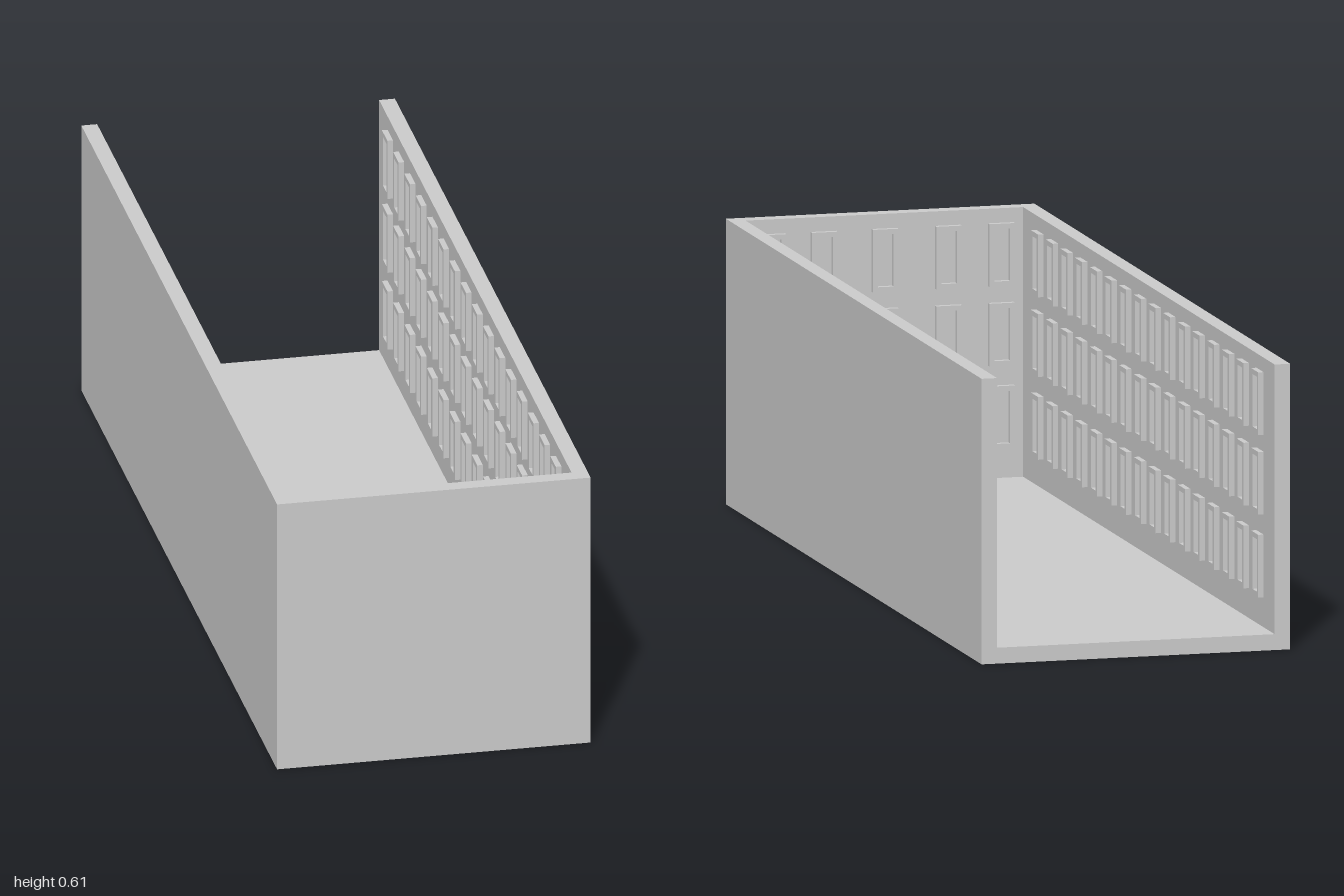
import * as THREE from 'three';

const W = 0.674, H = 0.61, L = 2, T = 0.034;
const WIN_W = 0.056, WIN_H = 0.134, BORDER = 0.011, DEPTH = 0.012;
const ROWS = [0.165, 0.342, 0.512];

function rectPath(PathType, w, h) {
  return new PathType([[-1, -1], [1, -1], [1, 1], [-1, 1]]
    .map(([x, y]) => new THREE.Vector2(x * w / 2, y * h / 2)));
}

export function createModel() {
  const model = new THREE.Group();
  model.name = 'openTrough';
  const mat = new THREE.MeshStandardMaterial({ color: 0xcccccc });

  // Floor and side walls: one U section, open at the top and back
  const a = W / 2, b = a - T;
  const section = new THREE.Shape([
    [-a, 0], [a, 0], [a, H], [b, H], [b, T], [-b, T], [-b, H], [-a, H],
  ].map(([x, y]) => new THREE.Vector2(x, y)));
  const channel = new THREE.Mesh(
    new THREE.ExtrudeGeometry(section, { depth: L - T, bevelEnabled: false }), mat);
  channel.position.z = -L / 2;
  channel.name = 'floorAndSideWalls';
  model.add(channel);

  // Closed front end
  const front = new THREE.Mesh(new THREE.BoxGeometry(W, H, T), mat);
  front.position.set(0, H / 2, L / 2 - T / 2);
  front.name = 'frontWall';
  model.add(front);

  // Raised window frames on the inner faces
  const frameShape = rectPath(THREE.Shape, WIN_W, WIN_H);
  frameShape.holes.push(rectPath(THREE.Path, WIN_W - 2 * BORDER, WIN_H - 2 * BORDER));
  const frameGeo = new THREE.ExtrudeGeometry(frameShape, { depth: DEPTH, bevelEnabled: false });

  function addFrame(parent, x, y, z, turn) {
    const frame = new THREE.Mesh(frameGeo, mat);
    frame.position.set(x, y, z);
    frame.rotation.y = turn;
    frame.name = 'windowFrame';
    parent.add(frame);
  }

  // Sixteen columns along each side wall
  for (const side of [-1, 1]) {
    const group = new THREE.Group();
    group.name = side > 0 ? 'leftWallWindows' : 'rightWallWindows';
    for (const y of ROWS)
      for (let i = 0; i < 16; i++)
        addFrame(group, side * b, y, -0.886 + i * 0.1147, -side * Math.PI / 2);
    model.add(group);
  }

  // Five columns on the front wall
  const frontWindows = new THREE.Group();
  frontWindows.name = 'frontWallWindows';
  for (const y of ROWS)
    for (const x of [-0.254, -0.138, 0, 0.133, 0.245])
      addFrame(frontWindows, x, y, L / 2 - T, Math.PI);
  model.add(frontWindows);

  return model;
}
